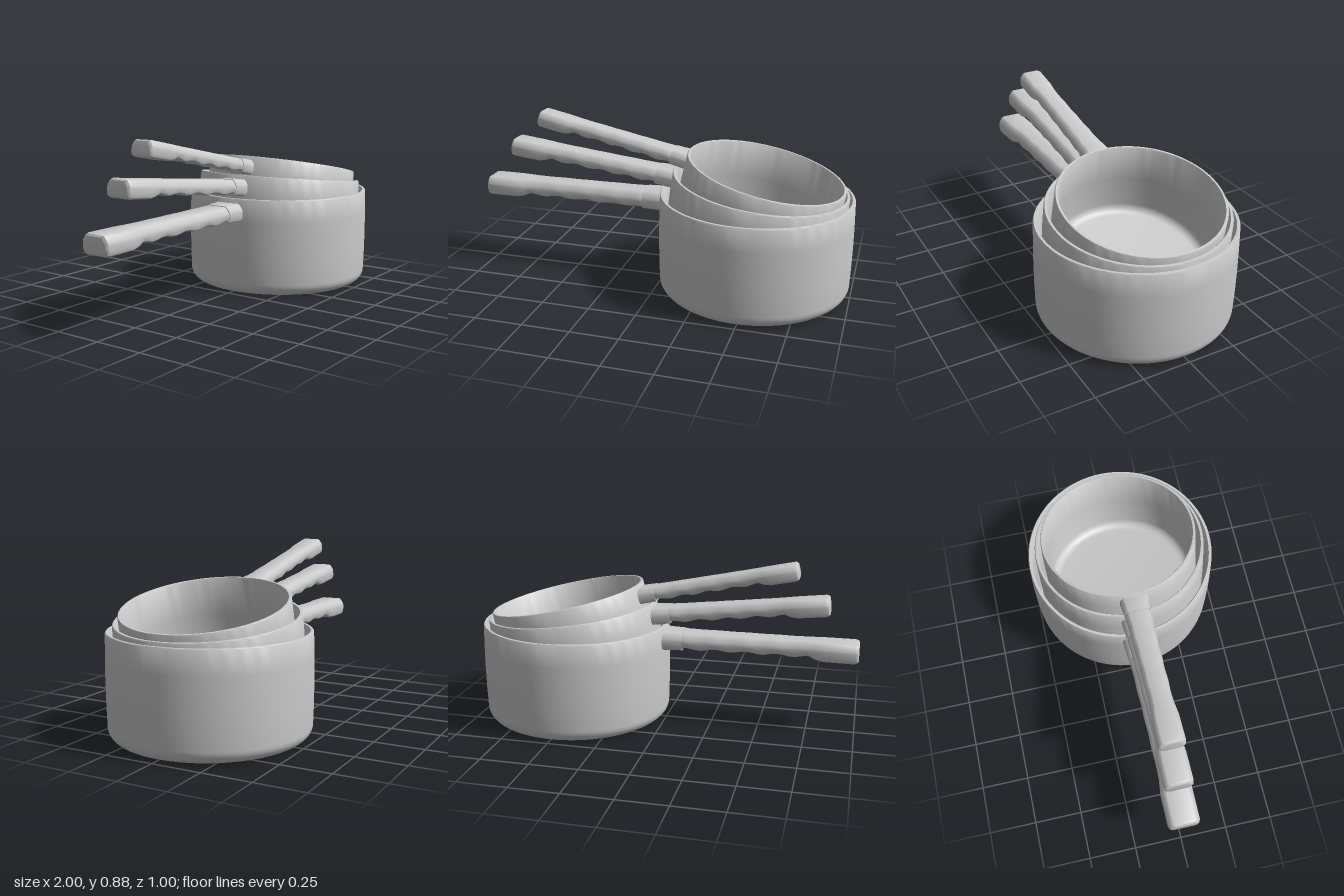
import * as THREE from 'three';
import { toCreasedNormals } from 'three/addons/utils/BufferGeometryUtils.js';

const grey = new THREE.MeshStandardMaterial({ color: 0xcccccc });

function part(name, geometry) {
  const mesh = new THREE.Mesh(geometry, grey);
  mesh.name = name;
  return mesh;
}

// Chamfered cross-section, counter-clockwise about +x: [y, z] pairs
function section(top, bottom, w) {
  const half = [
    [top, w - 0.028], [top - 0.007, w - 0.016], [top - 0.032, w - 0.001], [top - 0.042, w],
    [bottom + 0.024, w], [bottom + 0.008, w - 0.007], [bottom, w - 0.022],
  ];
  return [...half, ...half.slice().reverse().map(([y, z]) => [y, -z])];
}

// Skin over stations [x, top, bottom, halfWidth], capped at both ends
function loft(stations) {
  const pos = [], index = [];
  let n = 0;
  for (const [x, top, bottom, w] of stations) {
    const ring = section(top, bottom, w);
    n = ring.length;
    ring.forEach(([y, z]) => pos.push(x, y, z));
  }
  const last = (stations.length - 1) * n;
  for (let i = 0; i < stations.length - 1; i++) {
    for (let j = 0; j < n; j++) {
      const k = (j + 1) % n;
      const a = i * n + j, b = a + n, c = (i + 1) * n + k, d = i * n + k;
      index.push(a, d, c, a, c, b);
    }
  }
  for (let j = 1; j < n - 1; j++) {
    index.push(0, j + 1, j, last, last + j, last + j + 1);
  }
  const g = new THREE.BufferGeometry();
  g.setAttribute('position', new THREE.Float32BufferAttribute(pos, 3));
  g.setIndex(index);
  return toCreasedNormals(g, 0.6);
}

// Hollow pan body; the rim centre is the origin
function bowlGeometry() {
  const pts = [[0, -0.52]];
  const arc = (cx, cy, r, from, to, steps) => {
    for (let i = 0; i <= steps; i++) {
      const a = from + (to - from) * i / steps;
      pts.push([cx + r * Math.cos(a), cy + r * Math.sin(a)]);
    }
  };
  arc(0.432, -0.455, 0.065, -Math.PI / 2, 0, 8);
  pts.push([0.5, -0.35], [0.501, -0.24], [0.5, -0.12], [0.497, -0.006]);
  pts.push([0.493, 0], [0.481, 0], [0.477, -0.006], [0.478, -0.24]);
  arc(0.422, -0.445, 0.055, 0, -Math.PI / 2, 7);
  pts.push([0, -0.5]);
  const lathe = new THREE.LatheGeometry(pts.map(([x, y]) => new THREE.Vector2(x, y)), 80);
  return toCreasedNormals(lathe, 0.6);
}

// Grip: thick butt, then finger waves along the underside
function gripGeometry() {
  const stations = [
    [-1.497, -0.04, -0.118, 0.066],
    [-1.49, -0.032, -0.127, 0.076],
    [-1.475, -0.03, -0.13, 0.081],
    [-1.32, -0.03, -0.129, 0.081],
    [-1.28, -0.03, -0.121, 0.077],
  ];
  for (let i = 0; i <= 32; i++) {
    const t = i / 32;
    const wave = Math.sin(t * Math.PI * 8 + Math.PI / 2);
    stations.push([-1.245 + t * 0.64, -0.03, -0.111 + 0.006 * wave, 0.071 + 0.009 * t * t + 0.0015 * wave]);
  }
  stations.push([-0.592, -0.03, -0.114, 0.08]);
  return loft(stations);
}

// Collar joining the grip to the wall
function collarGeometry() {
  return loft([
    [-0.594, -0.027, -0.119, 0.083],
    [-0.54, -0.026, -0.12, 0.086],
    [-0.486, -0.025, -0.121, 0.092],
  ]);
}

export function createModel() {
  const model = new THREE.Group();
  model.name = 'nestedSaucepans';
  const bowl = bowlGeometry(), grip = gripGeometry(), collar = collarGeometry();

  // Name, rim centre x and y, size, tilt
  const pans = [
    ['largePan', 0.495, 0.52, 1, 0],
    ['mediumPan', 0.515, 0.587, 0.91, -0.116],
    ['smallPan', 0.543, 0.65, 0.828, -0.208],
  ];
  for (const [name, x, y, size, tilt] of pans) {
    const pan = new THREE.Group();
    pan.name = name;
    pan.add(part('bowl', bowl), part('handleGrip', grip), part('handleCollar', collar));
    pan.position.set(x, y, 0);
    pan.rotation.z = tilt;
    pan.scale.setScalar(size);
    model.add(pan);
  }
  return model;
}
